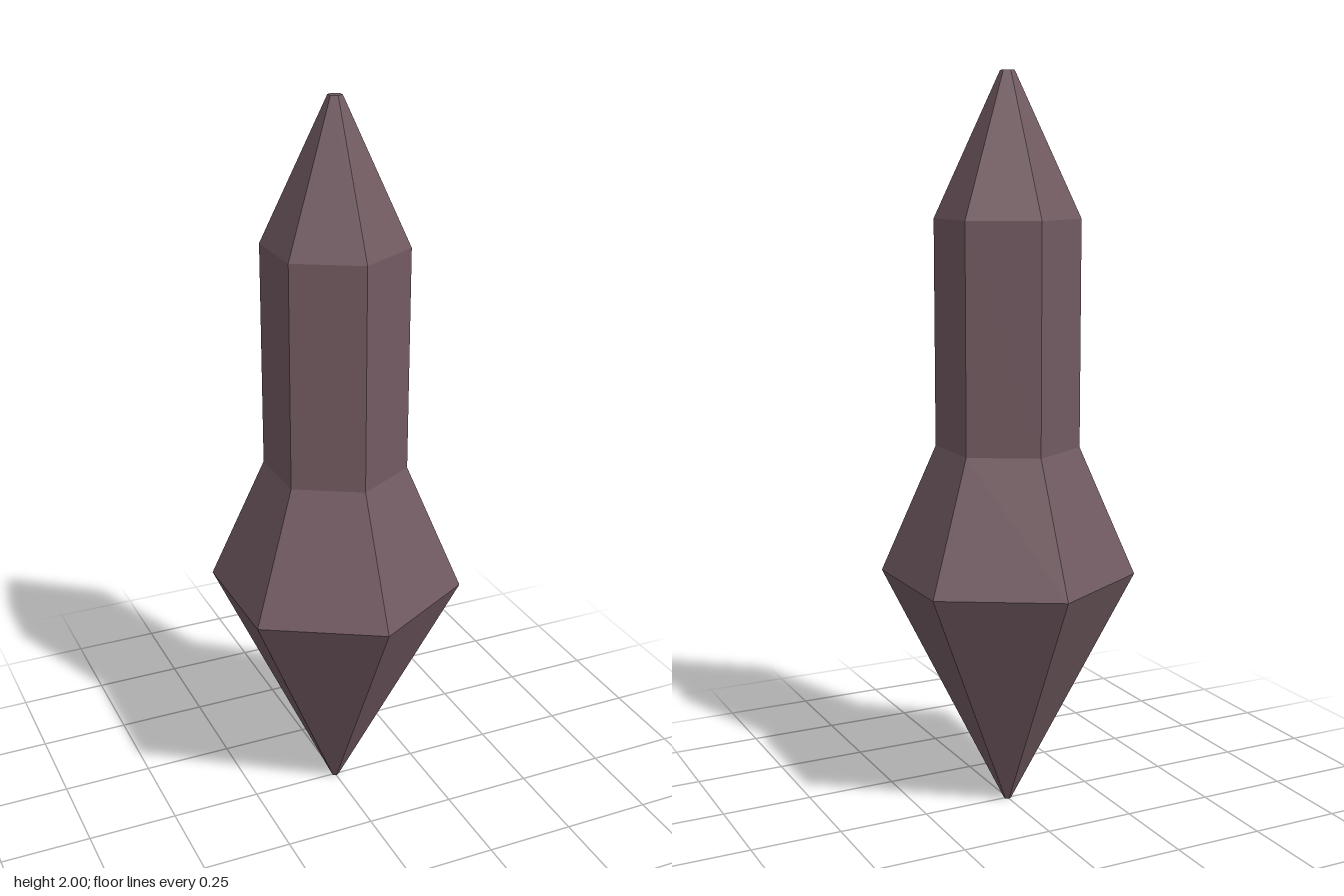
import * as THREE from 'three';

export function createModel() {
  const model = new THREE.Group();
  model.name = 'crystalSpike';
  const mauve = new THREE.MeshStandardMaterial({ color: 0x725b62, flatShading: true });
  mauve.name = 'duskyMauve';

  // Six-sided section turned around y, profile listed from bottom to top as [radius, y]
  function section(name, profile) {
    const points = profile.map(([r, y]) => new THREE.Vector2(r, y));
    const mesh = new THREE.Mesh(new THREE.LatheGeometry(points, 6), mauve);
    mesh.name = name;
    model.add(mesh);
  }

  // Lower point with a tiny blunt end
  section('lowerPoint', [[0, 0], [0.01, 0], [0.347, 0.66]]);
  // Flared shoulder narrowing to the shaft
  section('shoulder', [[0.347, 0.66], [0.195, 1.01]]);
  // Straight shaft
  section('shaft', [[0.195, 1.01], [0.195, 1.62]]);
  // Upper point with a small flat cap
  section('upperPoint', [[0.195, 1.62], [0.019, 2], [0, 2]]);

  return model;
}
